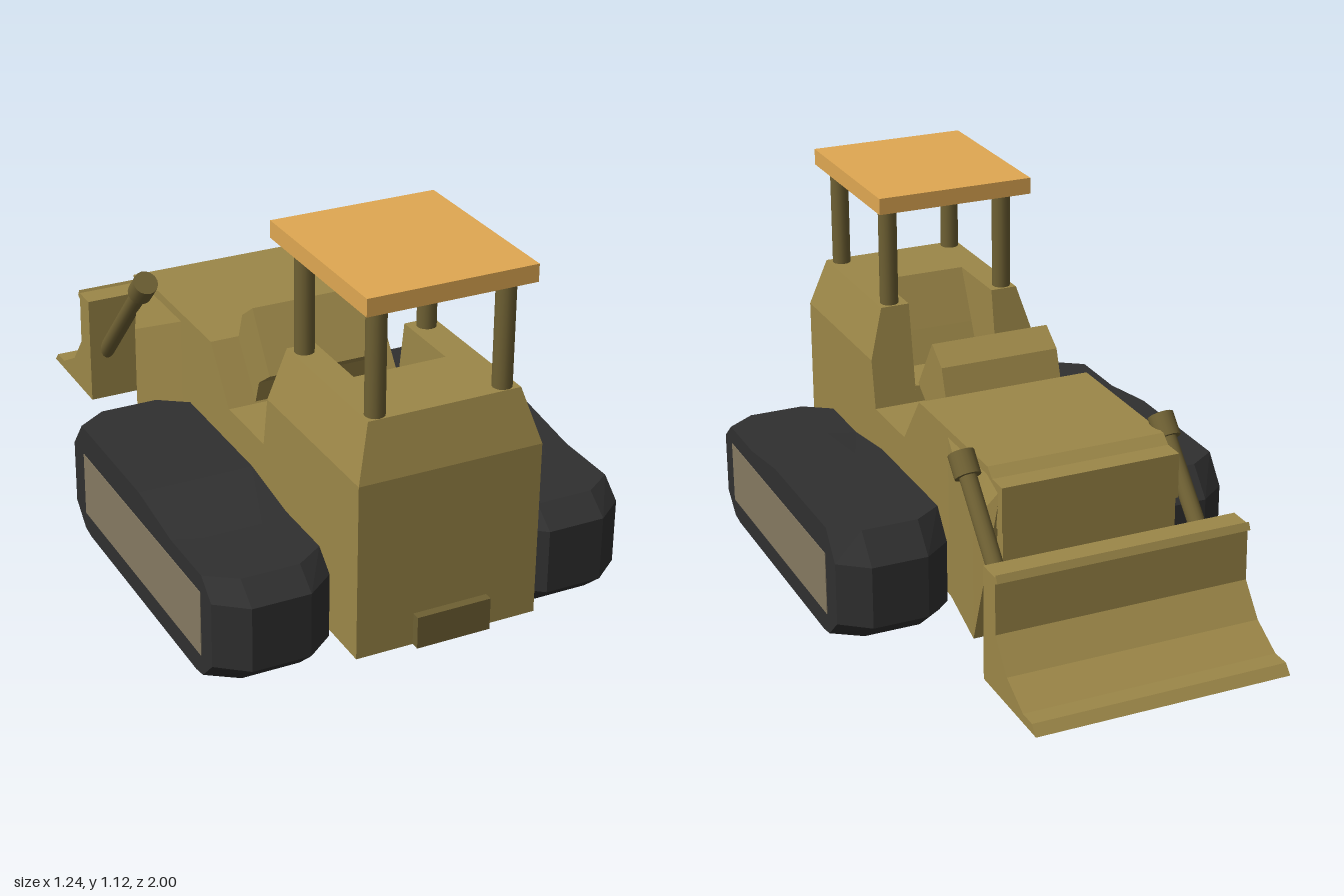
import * as THREE from 'three';
import { ConvexGeometry } from 'three/addons/geometries/ConvexGeometry.js';

const mat = (color, flatShading = true) => new THREE.MeshStandardMaterial({ color, flatShading });
const V = (x, y, z) => new THREE.Vector3(x, y, z);

export function createModel() {
  const model = new THREE.Group();
  const yellow = mat(0x9c8748), dark = mat(0x6e6033), steel = mat(0x6e6033, false);
  const orange = mat(0xe0a852), rubber = mat(0x303030), panel = mat(0x857961);

  const add = (name, geometry, material, parent = model) => {
    const mesh = new THREE.Mesh(geometry, material);
    mesh.name = name;
    parent.add(mesh);
    return mesh;
  };
  const group = (name) => {
    const g = new THREE.Group();
    g.name = name;
    model.add(g);
    return g;
  };
  // Side profile of [z, y] points, extruded from x0 to x1
  const slab = (points, x0, x1, steps = 1) => {
    const shape = new THREE.Shape(points.map(([z, y]) => new THREE.Vector2(-z, y)));
    const g = new THREE.ExtrudeGeometry(shape, { depth: x1 - x0, steps, bevelEnabled: false });
    return g.rotateY(Math.PI / 2).translate(x0, 0, 0);
  };
  const box = (x0, x1, y0, y1, z0, z1) => new THREE.BoxGeometry(x1 - x0, y1 - y0, z1 - z0)
    .translate((x0 + x1) / 2, (y0 + y1) / 2, (z0 + z1) / 2);
  const rod = (a, b, r) => {
    const d = b.clone().sub(a);
    const g = new THREE.CylinderGeometry(r, r, d.length(), 16);
    g.applyQuaternion(new THREE.Quaternion().setFromUnitVectors(V(0, 1, 0), d.normalize()));
    const m = a.clone().add(b).multiplyScalar(0.5);
    return g.translate(m.x, m.y, m.z);
  };

  // Hull and cab in three strips; the middle one has the seat well cut into it
  const hood = [[0.18, 0.45], [0.06, 0.61], [-0.425, 0.61], [-0.425, 0.085], [0.975, 0.085]];
  const sideHull = [[0.975, 0.6], [0.435, 0.6], [0.41, 0.45], ...hood];
  const seatHull = [[0.975, 0.6], [0.615, 0.6], [0.57, 0.5], [0.418, 0.5], [0.41, 0.45], ...hood];
  const sideCab = [[0.975, 0.6], [0.93, 0.755], [0.46, 0.755], [0.435, 0.6]];
  const seatCab = [[0.975, 0.6], [0.93, 0.755], [0.69, 0.755], [0.615, 0.6]];
  const body = group('body');
  const strips = [[-0.275, -0.145], [-0.145, 0.13], [0.13, 0.265]];
  strips.forEach(([x0, x1], i) => {
    add('hull', slab(i === 1 ? seatHull : sideHull, x0, x1), yellow, body);
    const cab = slab(i === 1 ? seatCab : sideCab, x0, x1);
    const p = cab.attributes.position;
    // Lean the outer walls inwards at the top
    for (let k = 0; k < p.count; k++) {
      if (p.getY(k) > 0.7 && Math.abs(p.getX(k)) > 0.2) p.setX(k, Math.sign(p.getX(k)) * 0.224 - 0.004);
    }
    cab.computeVertexNormals();
    add('cab', cab, yellow, body);
  });

  // Dashboard, radiator front and rear hitch plate
  add('dashboard', slab([[0.2, 0.525], [0.27, 0.575], [0.16, 0.74], [0.09, 0.69], [0.06, 0.6], [0.175, 0.45]],
    -0.19, 0.18), yellow, body);
  add('radiatorTop', slab([[-0.41, 0.45], [-0.41, 0.61], [-0.425, 0.61], [-0.455, 0.585], [-0.52, 0.585],
    [-0.52, 0.45]], -0.275, 0.265), yellow, body);
  add('radiator', box(-0.27, 0.26, 0.14, 0.45, -0.515, -0.41), yellow, body);
  add('hitchPlate', box(-0.107, 0.113, 0.085, 0.18, 0.97, 1.0), dark, body);

  // Canopy on four posts
  const canopy = group('canopy');
  add('roof', box(-0.255, 0.235, 1.065, 1.115, 0.415, 0.965), orange, canopy);
  for (const x of [-0.193, 0.18]) for (const z of [0.495, 0.9]) {
    add('post', rod(V(x, 0.74, z), V(x, 1.07, z), 0.028), steel, canopy);
  }

  // Blade
  add('blade', slab([[-0.67, 0.108], [-0.67, 0.45], [-0.745, 0.45], [-0.75, 0.458], [-0.76, 0.437], [-0.745, 0.43],
    [-0.748, 0.28], [-0.82, 0.19], [-0.92, 0.135], [-0.975, 0.135], [-1, 0.108]], -0.37, 0.388), yellow);

  // Crawler tracks, hydraulic arms and their side mounts
  const trackOutline = [[0.89, 0.262], [0.82, 0.315], [0.59, 0.315], [0.34, 0.347], [-0.15, 0.347],
    [-0.225, 0.262], [-0.225, 0.07], [-0.15, 0.008], [-0.1, 0], [0.77, 0], [0.82, 0.008], [0.89, 0.07]];
  for (const s of [-1, 1]) {
    const side = s > 0 ? 'left' : 'right';
    const x0 = s > 0 ? 0.275 : -0.62;
    const track = slab(trackOutline, x0, x0 + 0.342, 4);
    const p = track.attributes.position;
    // Both side faces are shorter, which chamfers the rounded ends
    for (let k = 0; k < p.count; k++) {
      if (Math.abs(p.getX(k) - x0 - 0.171) > 0.15) p.setZ(k, 0.3325 + (p.getZ(k) - 0.3325) * 0.88);
    }
    track.computeVertexNormals();
    add(side + 'Track', track, rubber);
    add(side + 'TrackPanel', box(x0 - 0.002, x0 + 0.344, 0.065, 0.26, -0.08, 0.755), panel);

    const top = V(s * 0.308 + 0.005, 0.605, -0.378), foot = V(s * 0.31, 0.26, -0.69);
    add(side + 'Arm', rod(top, foot, 0.025), steel);
    const along = foot.clone().sub(top).normalize();
    add(side + 'ArmHead', rod(top.clone().addScaledVector(along, -0.035),
      top.clone().addScaledVector(along, 0.035), 0.038), steel);

    // Wedge flaring out of the hull below the arm head
    const xi = s * 0.265 - 0.005, xo = s * 0.312 - 0.002;
    add(side + 'ArmMount', new ConvexGeometry([V(xi, 0.6, -0.12), V(xi, 0.088, -0.12), V(xi, 0.088, -0.425),
      V(xi, 0.6, -0.42), V(xi, 0.57, -0.5), V(xo, 0.45, -0.425), V(xo, 0.088, -0.425)]), yellow);
  }
  return model;
}
